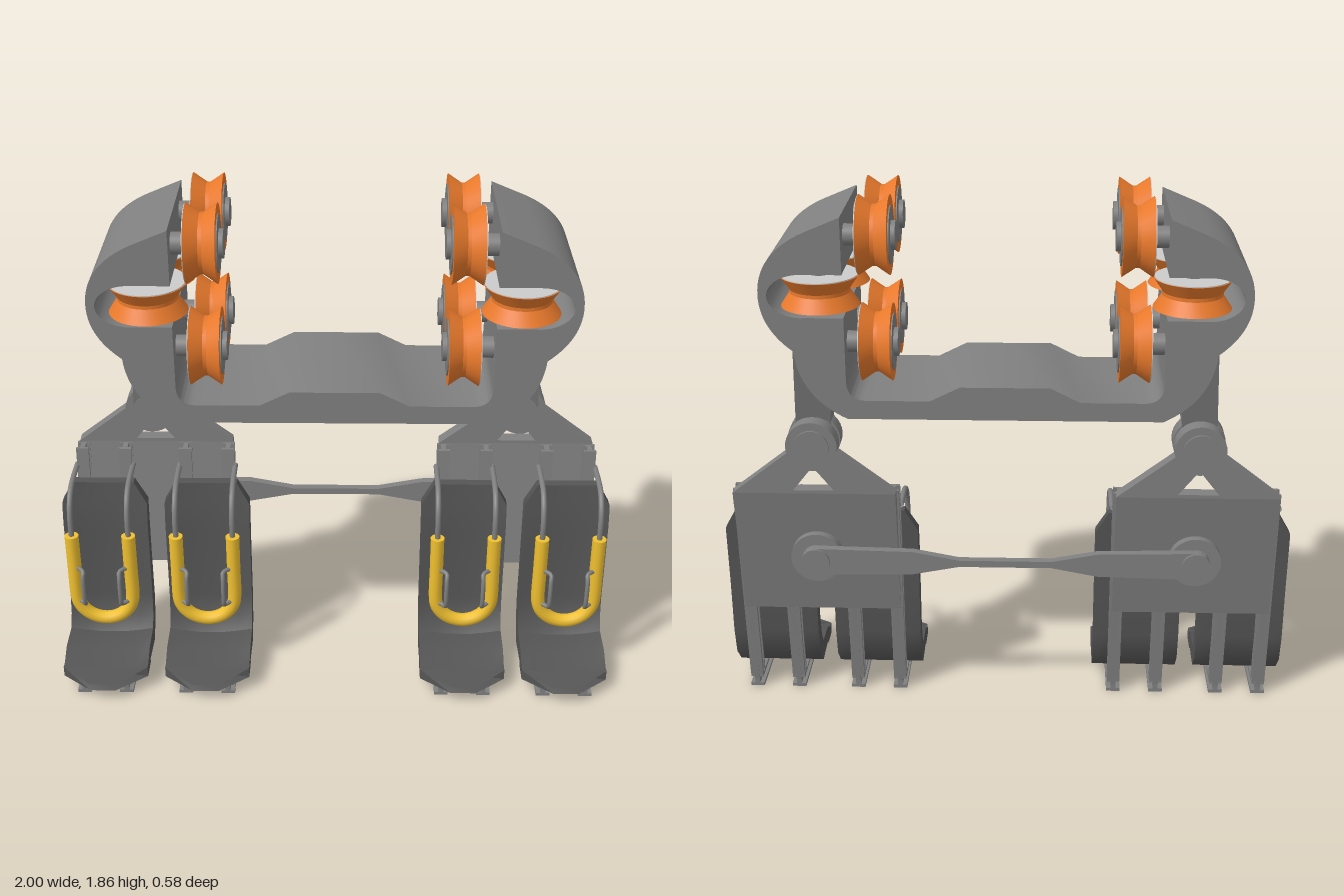
import * as THREE from 'three';
import { toCreasedNormals } from 'three/addons/utils/BufferGeometryUtils.js';

const mat = (color) => new THREE.MeshStandardMaterial({ color, side: THREE.DoubleSide });
const STEEL = mat(0x808080), DARK = mat(0x555555), LIGHT = mat(0xcccccc);
const ORANGE = mat(0xe8792c), YELLOW = mat(0xf0c030);
const V = (x, y, z) => new THREE.Vector3(x, y, z);

function add(parent, name, geo, material, x = 0, y = 0, z = 0) {
  const m = new THREE.Mesh(geo, material);
  m.name = name;
  m.position.set(x, y, z);
  parent.add(m);
  return m;
}

function group(parent, name, x = 0, y = 0, z = 0) {
  const g = new THREE.Group();
  g.name = name;
  g.position.set(x, y, z);
  parent.add(g);
  return g;
}

const toShape = (pts) => new THREE.Shape(pts.map((p) => new THREE.Vector2(p[0], p[1])));

// Outline in x,y pushed from z0 to z1
function extrude(shape, z0, z1) {
  const g = new THREE.ExtrudeGeometry(shape, { depth: z1 - z0, bevelEnabled: false, curveSegments: 14 });
  return toCreasedNormals(g.translate(0, 0, z0), 0.5);
}

// Outline in z,y given a width along x
const sideExtrude = (pts, w) => extrude(toShape(pts), -w / 2, w / 2).rotateY(-Math.PI / 2);

// Disc along z
const disc = (r, z0, z1) =>
  new THREE.CylinderGeometry(r, r, z1 - z0, 32).rotateX(Math.PI / 2).translate(0, 0, (z0 + z1) / 2);

// Upright cylinder from y0 to y1
const post = (r, y0, y1) => new THREE.CylinderGeometry(r, r, y1 - y0, 32).translate(0, (y0 + y1) / 2, 0);

// Skin over rings listed top to bottom, each counter-clockwise seen from above
function loft(rings) {
  const n = rings[0].length, last = (rings.length - 1) * n, idx = [];
  for (let i = 0; i < rings.length - 1; i++) {
    for (let j = 0; j < n; j++) {
      const a = i * n + j, b = i * n + ((j + 1) % n);
      idx.push(a, a + n, b, b, a + n, b + n);
    }
  }
  for (let j = 1; j < n - 1; j++) idx.push(0, j, j + 1, last, last + j + 1, last + j);
  const g = new THREE.BufferGeometry().setFromPoints(rings.flat());
  g.setIndex(idx);
  return toCreasedNormals(g, 0.6);
}

const rect = (y, x0, x1, z0, z1) => [V(x0, y, z1), V(x1, y, z1), V(x1, y, z0), V(x0, y, z0)];

// Grooved roller: orange tread, two face discs and an axle along local y
function wheel(parent, name, axleLow, axleHigh) {
  const g = group(parent, name);
  const tread = [[0.03, -0.051], [0.13, -0.051], [0.1, -0.006], [0.1, 0.006], [0.13, 0.051], [0.03, 0.051]];
  const lathe = new THREE.LatheGeometry(tread.map((p) => new THREE.Vector2(...p)), 40);
  add(g, 'tread', toCreasedNormals(lathe, 0.5), ORANGE);
  add(g, 'outerFace', post(0.127, -0.054, -0.05), LIGHT);
  add(g, 'innerFace', post(0.095, 0.05, 0.055), STEEL);
  add(g, 'axle', post(0.036, axleLow, axleHigh), STEEL);
  return g;
}

// C-armed chassis, one half outlined and mirrored
function chassis(parent) {
  const p = new THREE.Path();
  p.moveTo(0, 1.24).lineTo(0.15, 1.24).lineTo(0.25, 1.19).lineTo(0.46, 1.19);
  p.quadraticCurveTo(0.525, 1.19, 0.525, 1.26);
  p.lineTo(0.525, 1.475).lineTo(0.66, 1.475);
  p.absellipse(0.66, 1.547, 0.112, 0.073, -Math.PI / 2, Math.PI / 2, false);
  p.lineTo(0.525, 1.62).lineTo(0.525, 1.808).lineTo(0.64, 1.76);
  p.quadraticCurveTo(0.8, 1.69, 0.8, 1.55);
  p.quadraticCurveTo(0.8, 1.44, 0.695, 1.36);
  p.quadraticCurveTo(0.68, 1.2, 0.525, 1.125);
  p.lineTo(0, 1.125);
  const half = p.getPoints(14).map((v) => [v.x, v.y]);
  const mirrored = half.slice(1, -1).reverse().map(([x, y]) => [-x, y]);
  add(parent, 'chassis', extrude(toShape([...half, ...mirrored]), -0.257, 0.207), STEEL);
}

// Seat shell: front and back profiles as [z, y], with a dished middle
function seatShell() {
  const F = [[-0.07, 0.72], [-0.055, 0.64], [-0.04, 0.56], [-0.035, 0.25], [-0.02, 0.17], [0.01, 0.125], [0.12, 0.12], [0.22, 0.088], [0.29, 0.09]];
  const B = [[-0.105, 0.72], [-0.1, 0.64], [-0.09, 0.42], [-0.09, 0.22], [-0.07, 0.12], [-0.01, 0.055], [0.12, 0.065], [0.16, 0.05], [0.29, 0.05]];
  const us = [-1, -0.7, -0.3, 0.3, 0.7, 1];
  return loft(F.map((f, i) => {
    const b = B[i], hw = i === 0 ? 0.11 : 0.155;
    const pull = i === 8 ? 0.085 : i === 7 ? 0.04 : 0;
    const at = (u, t) => {
      const back = pull * Math.max(0, (Math.abs(u) - 0.3) / 0.7);
      return V(u * hw, f[1] + (b[1] - f[1]) * t, f[0] + (b[0] - f[0]) * t - back);
    };
    const front = us.map((u) => at(u, Math.abs(u) < 0.5 ? 0.3 : Math.abs(u) < 0.9 ? 0.15 : 0));
    return [...front, ...[...us].reverse().map((u) => at(u, 1))];
  }));
}

// L-shaped I-beam: [z, y] profile and width of each strip
const RAIL = [
  [[[-0.125, 0.83], [-0.07, 0.03], [-0.115, 0.03], [-0.142, 0.35], [-0.2, 0.83]], 0.018],
  [[[-0.125, 0.83], [-0.07, 0.05], [-0.082, 0.05], [-0.137, 0.83]], 0.045],
  [[[-0.17, 0.83], [-0.1, 0.05], [-0.115, 0.05], [-0.142, 0.35], [-0.182, 0.83]], 0.045],
  [[[0.238, 0.008], [0.238, 0.045], [-0.113, 0.045], [-0.113, 0.008]], 0.018],
  [[[0.238, 0.038], [0.238, 0.05], [-0.113, 0.05], [-0.113, 0.038]], 0.045],
  [[[0.238, 0], [0.238, 0.012], [-0.113, 0.012], [-0.113, 0]], 0.05],
];

const tube = (pts, r, n = 32) => new THREE.TubeGeometry(new THREE.CatmullRomCurve3(pts, false, 'centripetal'), n, r, 10);

// Seat with its rails and U-shaped restraint
function seat(parent, x) {
  const g = group(parent, 'seat', x);
  add(g, 'seatShell', seatShell(), DARK);
  const u = [V(-0.102, 0.59, 0.088), V(-0.102, 0.46, 0.088)];
  for (let i = 0; i <= 12; i++) {
    const a = Math.PI * (1 + i / 12);
    u.push(V(Math.cos(a) * 0.102, 0.335 + Math.sin(a) * 0.102, 0.088));
  }
  u.push(V(0.102, 0.46, 0.088), V(0.102, 0.59, 0.088));
  add(g, 'restraintPad', tube(u, 0.025, 64), YELLOW);
  for (const s of [-1, 1]) {
    const rail = group(g, 'rail', s * 0.0775);
    RAIL.forEach(([pts, w]) => add(rail, 'railStrip', sideExtrude(pts, w), STEEL));
    const X = s * 0.102, H = s * 0.066;
    add(g, 'padCap', post(0.025, 0.588, 0.592), YELLOW, X, 0, 0.088);
    const arm = [V(X, 0.757, -0.14), V(X, 0.757, -0.02), V(X, 0.745, 0.03), V(X, 0.71, 0.067), V(X, 0.66, 0.085), V(X, 0.58, 0.088)];
    add(g, 'restraintArm', tube(arm, 0.01), STEEL);
    const grip = [V(X, 0.46, 0.09), V(H, 0.46, 0.125), V(H, 0.44, 0.138), V(H, 0.34, 0.138), V(H, 0.32, 0.125), V(X, 0.32, 0.09)];
    add(g, 'handle', tube(grip, 0.008), STEEL);
  }
}

// Hanging carriage with two seats
function carriage(parent, s) {
  const g = group(parent, 'carriage', s * 0.6575);
  add(g, 'frontPivot', disc(0.09, -0.157, -0.095), STEEL, 0, 1.01);
  add(g, 'rearPivot', disc(0.088, -0.232, -0.172), STEEL, 0, 1.01);
  add(g, 'pivotPin', disc(0.06, -0.24, -0.088), STEEL, 0, 1.01);
  const yoke = toShape([[-0.28, 0.835], [0.28, 0.835], [0.085, 0.985], [-0.085, 0.985]]);
  yoke.holes.push(new THREE.Path([[-0.07, 0.847], [0, 0.935], [0.07, 0.847]].map((p) => new THREE.Vector2(...p))));
  add(g, 'yoke', extrude(yoke, -0.225, -0.175), STEEL);
  add(g, 'backPlate', loft([rect(0.835, -0.28, 0.28, -0.225, -0.175), rect(0.35, -0.28, 0.28, -0.147, -0.115)]), STEEL);
  add(g, 'rodHub', disc(0.09, -0.228, -0.165), STEEL, 0, 0.59);
  add(g, 'rodPin', disc(0.05, -0.268, -0.16), STEEL, 0, 0.59);
  for (const x of [-0.1875, 0.1875]) seat(g, x);
}

export function createModel() {
  const root = new THREE.Group();
  root.name = 'suspendedRideCar';
  chassis(root);

  for (const s of [-1, 1]) {
    // Rollers above, below and beside the rail, in front and rear pairs
    for (const z of [0.115, -0.165]) {
      for (const y of [1.73, 1.367]) {
        const w = wheel(root, 'runningWheel', -0.125, 0.058);
        add(w, 'axleCap', post(0.048, 0.055, 0.07), STEEL);
        w.position.set(s * 0.425, y, z);
        w.rotation.z = (s * Math.PI) / 2;
      }
      const side = wheel(root, 'sideWheel', -0.085, 0.085);
      side.position.set(s * 0.61, 1.547, z);
      side.rotation.z = Math.PI;
    }
    // Tapered hanger from chassis to pivot
    const span = (a, b) => [Math.min(s * a, s * b), Math.max(s * a, s * b)];
    add(root, 'hanger', loft([
      rect(1.36, ...span(0.57, 0.698), -0.25, -0.03),
      rect(1.03, ...span(0.6, 0.718), -0.157, -0.095),
    ]), STEEL);
    carriage(root, s);
  }

  // Connecting rod, waisted in the middle with rounded ends
  const half = [[0.16, 0.012], [0.32, 0.043], [0.6575, 0.05], [0.69, 0.04], [0.707, 0]];
  const quarter = (sx, sy) => half.map(([x, y]) => [sx * x, sy * y + 0.59]);
  const rod = [...quarter(1, -1), ...quarter(1, 1).reverse().slice(1), ...quarter(-1, 1), ...quarter(-1, -1).reverse().slice(1)];
  add(root, 'connectingRod', extrude(toShape(rod), -0.258, -0.23), STEEL);
  return root;
}
